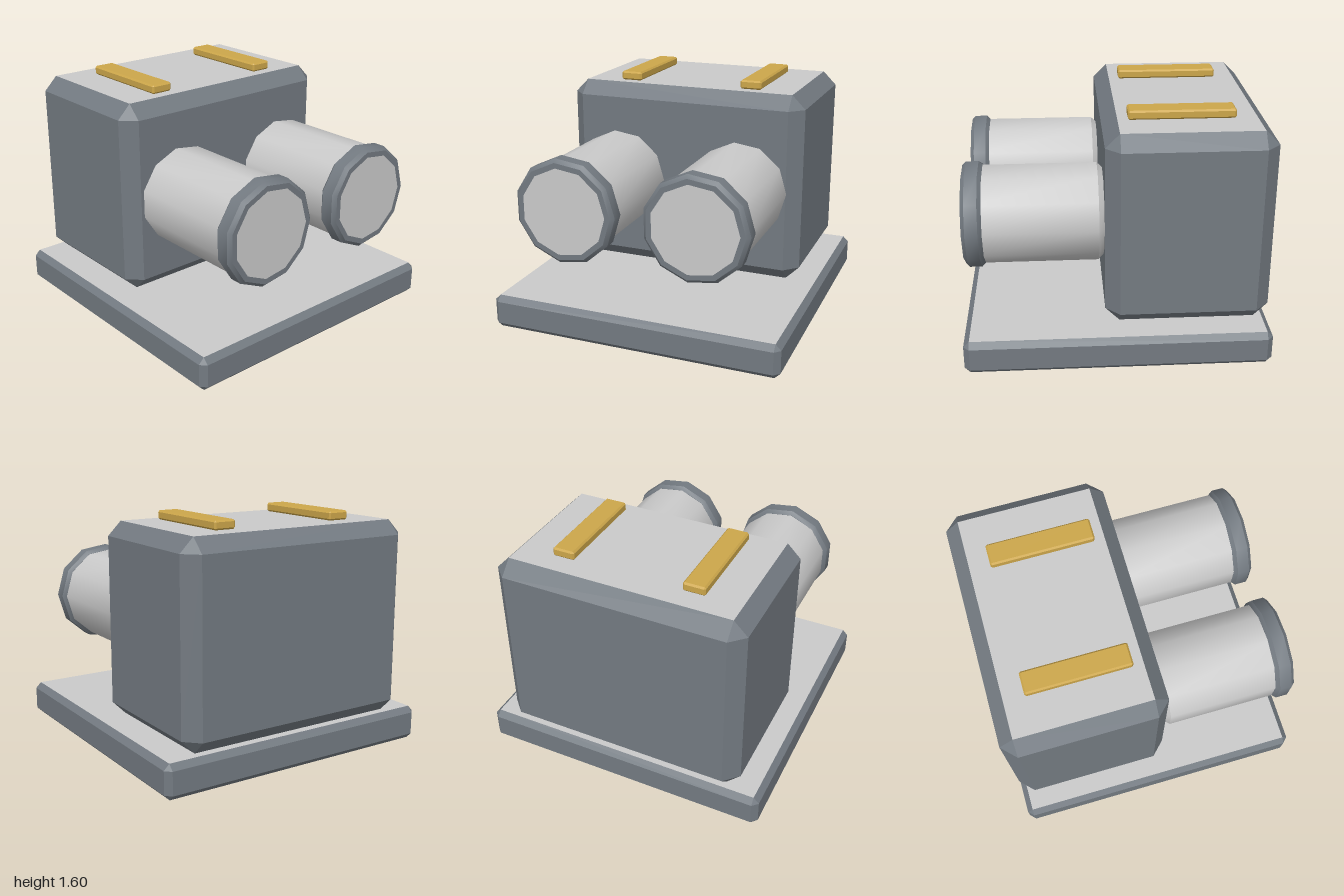
import * as THREE from 'three';
import { toCreasedNormals } from 'three/addons/utils/BufferGeometryUtils.js';
import { ConvexGeometry } from 'three/addons/geometries/ConvexGeometry.js';

const steel = new THREE.MeshStandardMaterial({ color: 0x737a81 });
steel.name = 'slate grey';
const pale = new THREE.MeshStandardMaterial({ color: 0xcacaca });
pale.name = 'pale grey';
const brass = new THREE.MeshStandardMaterial({ color: 0xcca64a });
brass.name = 'brass';

// Box with every edge cut at 45 degrees; its top and bottom faces take the second material
function chamferBox(name, [x0, x1], [y0, y1], [z0, z1], c, side, cap) {
  const h = [(x1 - x0) / 2, (y1 - y0) / 2, (z1 - z0) / 2];
  const points = [];
  for (const sx of [-1, 1]) for (const sy of [-1, 1]) for (const sz of [-1, 1]) {
    for (let full = 0; full < 3; full++) {
      const p = [sx, sy, sz].map((s, k) => s * (h[k] - (k === full ? 0 : c)));
      points.push(new THREE.Vector3(...p));
    }
  }
  const geometry = new ConvexGeometry(points);
  const normal = geometry.attributes.normal;
  for (let i = 0; i < normal.count; i += 3) {
    geometry.addGroup(i, 3, Math.abs(normal.getY(i)) > 0.99 ? 1 : 0);
  }
  const mesh = new THREE.Mesh(geometry, [side, cap]);
  mesh.name = name;
  mesh.position.set((x0 + x1) / 2, (y0 + y1) / 2, (z0 + z1) / 2);
  return mesh;
}

// Eleven-sided turned part along z, from [radius, z] pairs
function turned(name, profile, material) {
  const points = profile.map(([r, z]) => new THREE.Vector2(r, z));
  const lathe = new THREE.LatheGeometry(points, 11, Math.PI / 2);
  lathe.rotateX(Math.PI / 2);
  const mesh = new THREE.Mesh(toCreasedNormals(lathe, 0.68), material);
  mesh.name = name;
  return mesh;
}

export function createModel() {
  const model = new THREE.Group();
  model.name = 'twinBarrelUnit';

  // Base slab and housing
  model.add(chamferBox('base', [-1, 1], [0, 0.23], [-1, 1], 0.038, steel, pale));
  model.add(chamferBox('housing', [-0.847, 0.847], [0.23, 1.54], [-1, 0.08], 0.093, steel, pale));

  for (const [side, s] of [['right', -1], ['left', 1]]) {
    const x = s * 0.443;

    // Barrel with a collar around its front end
    const barrel = new THREE.Group();
    barrel.name = side + 'Barrel';
    barrel.position.set(x, 0.89, 0);
    barrel.add(turned('tube', [
      [0, 0.08], [0.292, 0.08], [0.327, 0.115], [0.327, 0.95], [0.292, 0.985], [0, 0.985],
    ], pale));
    barrel.add(turned('collar', [
      [0.32, 0.855], [0.328, 0.855], [0.352, 0.879], [0.352, 0.961], [0.328, 0.985], [0.292, 0.985],
    ], steel));
    model.add(barrel);

    // Rail on the roof
    model.add(chamferBox(side + 'Rail', [x - 0.075, x + 0.075], [1.54, 1.6], [-0.77, -0.08],
      0.011, brass, brass));
  }
  return model;
}
